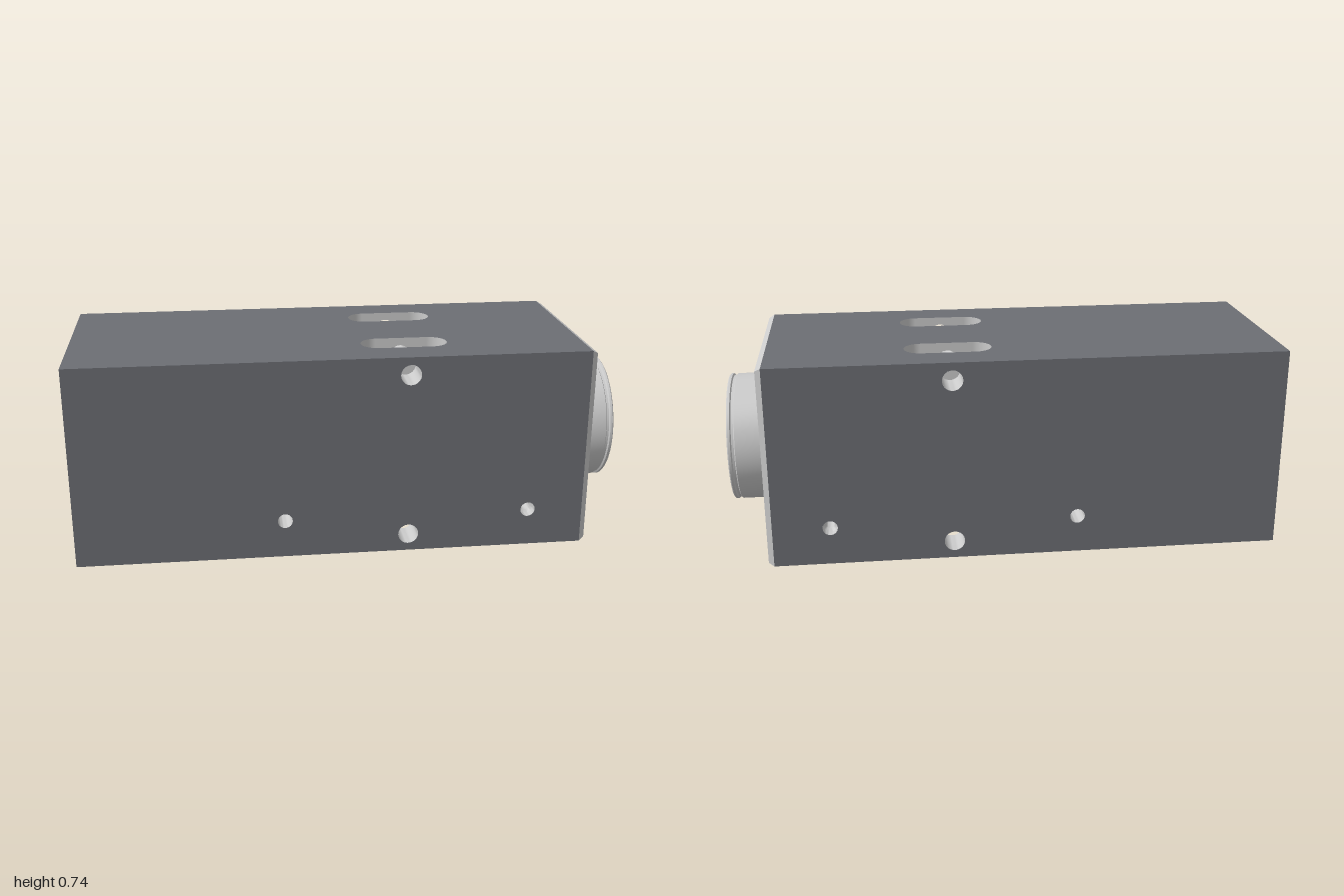
import * as THREE from 'three';
import { toCreasedNormals } from 'three/addons/utils/BufferGeometryUtils.js';
import { ParametricGeometry } from 'three/addons/geometries/ParametricGeometry.js';

const H = 0.37;                                  // half height and half depth
const X0 = -1, X1 = 0.85, X2 = 0.87;             // rear end, chamfer start, front end
const EDGE = 0.359;                              // half size after the chamfer
const BORE = 0.152;                              // narrowest bore radius
const SLOT = { x0: 0.045, x1: 0.36, z: 0.183, r: 0.062 };
const CROSS = { x: 0.2, y: 0.305, r: 0.037 };    // cross holes through the slots
const PIN = { y: -0.23, r: 0.027, through: -0.25, blind: 0.645 };
const CORNER = { at: 0.275, r: 0.06 };
const TAPPED = [[0, 0.32], [0.11, 0.297], [-0.12, -0.294], [-0.31, -0.06], [0.31, -0.06]]; // z, y

const bare = new THREE.MeshStandardMaterial({ color: 0xcccccc, side: THREE.DoubleSide });
const coated = new THREE.MeshStandardMaterial({ color: 0x6c6e74, side: THREE.DoubleSide });

function add(parent, name, geometry, material = bare) {
  const mesh = new THREE.Mesh(geometry, material);
  mesh.name = name;
  parent.add(mesh);
  return mesh;
}

function rect(x0, y0, x1, y1) {
  return new THREE.Shape([[x0, y0], [x1, y0], [x1, y1], [x0, y1]].map(p => new THREE.Vector2(...p)));
}

function cut(shape, x, y, r) {
  shape.holes.push(new THREE.Path().absarc(x, y, r, 0, Math.PI * 2, true));
  return shape;
}

// Turned surface from [radius, position] pairs, with its axis along y
function turned(points, sides = 32) {
  return toCreasedNormals(new THREE.LatheGeometry(points.map(p => new THREE.Vector2(...p)), sides), 0.5);
}
const alongX = (points, sides) => turned(points, sides).rotateZ(-Math.PI / 2);
const alongZ = (points, sides) => turned(points, sides).rotateX(Math.PI / 2);

// One side wall with its holes; the other is its mirror image
function makeSide() {
  const side = new THREE.Group();
  side.name = 'sideWall';
  const wall = rect(X0, -H, X1, H);
  for (const s of [1, -1]) cut(wall, CROSS.x, s * CROSS.y, CROSS.r);
  for (const x of [PIN.through, PIN.blind]) cut(wall, x, PIN.y, PIN.r);
  add(side, 'sidePanel', new THREE.ShapeGeometry(wall, 24).translate(0, 0, H), coated);

  add(side, 'pinHole', alongZ([[PIN.r, 0], [PIN.r, H]]).translate(PIN.through, PIN.y, 0));
  add(side, 'blindHole', alongZ([[0, 0.25], [0.017, 0.265], [0.017, 0.33], [PIN.r, 0.34], [PIN.r, H]])
    .translate(PIN.blind, PIN.y, 0));
  for (const s of [1, -1]) {
    for (const [a, b] of [[0, SLOT.z - SLOT.r], [SLOT.z + SLOT.r, H]]) {
      add(side, 'crossHole', alongZ([[CROSS.r, a], [CROSS.r, b]]).translate(CROSS.x, s * CROSS.y, 0));
    }
  }
  return side;
}

// Upper half of one slot, running down to the bore, plus the quarter of bore it opens into
function makeSlotQuarter() {
  const quarter = new THREE.Group();
  quarter.name = 'slot';
  const { x0, x1, z, r } = SLOT;
  const boreY = d => Math.sqrt(Math.max(0, BORE * BORE - d * d));

  // flat walls, pierced by the cross hole
  for (const d of [z - r, z + r]) {
    const wall = cut(rect(x0 + r, boreY(d), x1 - r, H), CROSS.x, CROSS.y, CROSS.r);
    add(quarter, 'slotWall', new THREE.ShapeGeometry(wall, 24).translate(0, 0, d));
  }
  // rounded ends
  for (const [cx, s] of [[x0 + r, -1], [x1 - r, 1]]) {
    add(quarter, 'slotEnd', new ParametricGeometry((u, v, p) => {
      const a = (u - 0.5) * Math.PI, d = z + r * Math.sin(a), low = boreY(d);
      p.set(cx + s * r * Math.cos(a), low + (H - low) * v, d);
    }, 32, 1));
  }
  // bore wall, trimmed to the slot outline
  add(quarter, 'boreMiddle', new ParametricGeometry((u, v, p) => {
    const x = x0 + (x1 - x0) * u;
    const out = Math.max(0, x0 + r - x, x - (x1 - r));
    const half = Math.sqrt(Math.max(0, r * r - out * out));
    const a = v * Math.asin(Math.min(1, (z - half) / BORE));
    p.set(x, BORE * Math.cos(a), BORE * Math.sin(a));
  }, 80, 16));
  return quarter;
}

function makeRearEnd() {
  const rear = new THREE.Group();
  rear.name = 'rearEnd';
  const face = cut(rect(-H, -H, H, H), 0, 0, 0.24);
  const hole = (name, z, y, r, depth) => {
    cut(face, z, y, r);
    add(rear, name, alongX([[r, X0], [r, X0 + depth], [0, X0 + depth + r * 0.4]]).translate(0, y, z));
  };
  for (const sy of [1, -1]) for (const sz of [1, -1]) {
    hole('cornerHole', sz * CORNER.at, sy * CORNER.at, CORNER.r, 0.15);
  }
  for (const [z, y] of TAPPED) hole('tappedHole', z, y, 0.025, 0.1);
  add(rear, 'rearPanel', new THREE.ShapeGeometry(face, 48).rotateY(-Math.PI / 2).translate(X0, 0, 0), coated);
  return rear;
}

export function createModel() {
  const model = new THREE.Group();
  model.name = 'squareHousing';
  const body = new THREE.Group();
  body.name = 'body';
  body.position.y = H;
  model.add(body);

  // side walls, mirrored front to back
  const side = makeSide();
  const back = side.clone();
  back.scale.z = -1;
  body.add(side, back);

  // top and bottom walls with a pair of slots
  const cover = rect(X0, -H, X1, H);
  for (const s of [1, -1]) {
    const path = new THREE.Path();
    path.absarc(SLOT.x1 - SLOT.r, s * SLOT.z, SLOT.r, -Math.PI / 2, Math.PI / 2, false);
    path.absarc(SLOT.x0 + SLOT.r, s * SLOT.z, SLOT.r, Math.PI / 2, Math.PI * 1.5, false);
    cover.holes.push(path);
  }
  const top = add(body, 'topPanel', new THREE.ShapeGeometry(cover, 24).rotateX(-Math.PI / 2).translate(0, H, 0), coated);
  const bottom = top.clone();
  bottom.name = 'bottomPanel';
  bottom.scale.y = -1;
  body.add(bottom);

  const slot = makeSlotQuarter();
  for (const sy of [1, -1]) for (const sz of [1, -1]) {
    const copy = slot.clone();
    copy.scale.set(1, sy, sz);
    body.add(copy);
  }

  // ends and the chamfer around the collar end
  body.add(makeRearEnd());
  const end = cut(rect(-EDGE, -EDGE, EDGE, EDGE), 0, 0, 0.228);
  add(body, 'collarPanel', new THREE.ShapeGeometry(end, 48).rotateY(Math.PI / 2).translate(X2, 0, 0), coated);
  const chamfer = new THREE.CylinderGeometry(EDGE * Math.SQRT2, H * Math.SQRT2, X2 - X1, 4, 1, true)
    .rotateY(Math.PI / 4).rotateZ(-Math.PI / 2).translate((X1 + X2) / 2, 0, 0);
  add(body, 'chamfer', toCreasedNormals(chamfer, 0.3));

  // stepped bore either side of the slots
  add(body, 'rearBore', alongX([[0.24, X0], [0.24, -0.88], [0.2, -0.88], [0.2, -0.02], [BORE, -0.02],
    [BORE, SLOT.x0]], 64));
  add(body, 'frontBore', alongX([[BORE, SLOT.x1], [BORE, 0.42], [0.183, 0.8], [0.183, 0.84], [0.208, 0.865],
    [0.213, 0.865], [0.213, 0.985]], 64));

  // collar with a groove near its lip
  add(body, 'collar', alongX([[0.228, X2], [0.228, 0.876], [0.235, 0.883], [0.235, 0.972], [0.229, 0.976],
    [0.229, 0.984], [0.235, 0.988], [0.235, 0.996], [0.231, 1], [0.222, 1], [0.213, 0.985]], 64));
  return model;
}
